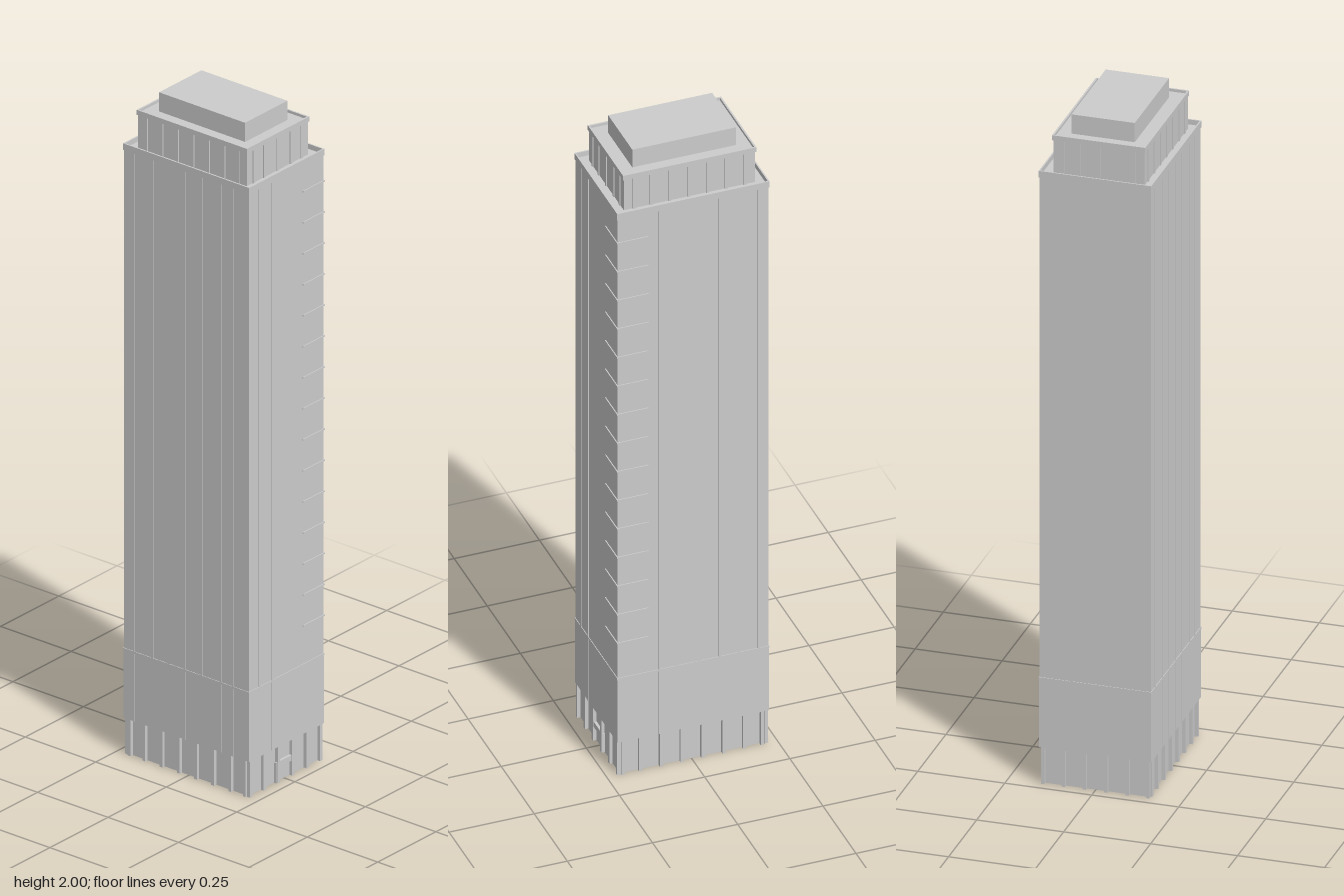
import * as THREE from 'three';

const stone = new THREE.MeshStandardMaterial({ color: 0xcccccc });
stone.name = 'light grey';

// Footprint bounds: [xMin, xMax, zMin, zMax]
const SHAFT = [-0.161, 0.159, -0.223, 0.22];
const CROWN = [-0.137, 0.131, -0.198, 0.193];
const CAP = [-0.093, 0.089, -0.155, 0.15];

const inset = ([a, b, c, d], n) => [a + n, b - n, c + n, d - n];

export function createModel() {
  const model = new THREE.Group();
  model.name = 'tower';

  function block(name, [x0, x1, z0, z1], y0, y1, parent = model) {
    const mesh = new THREE.Mesh(new THREE.BoxGeometry(x1 - x0, y1 - y0, z1 - z0), stone);
    mesh.position.set((x0 + x1) / 2, (y0 + y1) / 2, (z0 + z1) / 2);
    mesh.name = name;
    parent.add(mesh);
  }

  // Hollow rectangular wall, open at top and bottom
  function ring(name, [x0, x1, z0, z1], thick, y0, y1) {
    const rect = (P, n) => new P([
      new THREE.Vector2(x0 + n, -z0 - n), new THREE.Vector2(x0 + n, -z1 + n),
      new THREE.Vector2(x1 - n, -z1 + n), new THREE.Vector2(x1 - n, -z0 - n),
    ]);
    const shape = rect(THREE.Shape, 0);
    shape.holes.push(rect(THREE.Path, thick));
    const geo = new THREE.ExtrudeGeometry(shape, { depth: y1 - y0, bevelEnabled: false });
    geo.rotateX(-Math.PI / 2).translate(0, y0, 0);
    const mesh = new THREE.Mesh(geo, stone);
    mesh.name = name;
    model.add(mesh);
  }

  // Vertical strips on one side of a footprint; a positive out stands proud
  function strips(name, bounds, side, centres, width, out, y0, y1) {
    const group = new THREE.Group();
    group.name = name;
    const [x0, x1, z0, z1] = bounds;
    for (const c of centres) {
      const a = c - width / 2, b = c + width / 2;
      const box = {
        front: [a, b, z1 - 0.001, z1 + out],
        back: [a, b, z0 - out, z0 + 0.001],
        left: [x1 - 0.001, x1 + out, a, b],
        right: [x0 - out, x0 + 0.001, a, b],
      }[side];
      block(name + 'Strip', box, y0, y1, group);
    }
    model.add(group);
  }

  // Open-bottomed ground floor set back behind columns
  const wall = inset(SHAFT, 0.01);
  ring('groundFloorWall', wall, 0.002, 0, 0.11);
  const shortSide = [-0.152, -0.093, -0.032, 0.03, 0.091, 0.15];
  const longSide = [-0.205, -0.153, -0.092, -0.031, 0.03, 0.091, 0.152, 0.203];
  for (const side of ['front', 'back']) strips(side + 'Columns', wall, side, shortSide, 0.01, 0.01, 0, 0.11);
  for (const side of ['left', 'right']) strips(side + 'Columns', wall, side, longSide, 0.01, 0.01, 0, 0.11);

  // Entrance
  const z = wall[3];
  block('doorPost', [-0.041, -0.035, z, z + 0.008], 0, 0.062);
  block('doorPost', [0.031, 0.037, z, z + 0.008], 0, 0.062);
  block('doorLintel', [-0.03, 0.028, z, z + 0.008], 0.045, 0.062);

  // Lower storeys, ledge, shaft and its parapet
  block('lowerStoreys', inset(SHAFT, -0.001), 0.11, 0.32);
  ring('ledge', inset(SHAFT, -0.002), 0.003, 0.316, 0.322);
  block('shaft', SHAFT, 0.32, 1.835);
  ring('shaftParapet', inset(SHAFT, -0.002), 0.004, 1.83, 1.85);

  // Slim ribs running up the shaft
  const rib = (side, centres) => strips(side + 'Ribs', SHAFT, side, centres, 0.006, 0.002, 0.11, 1.84);
  rib('front', [-0.117, -0.062]);
  rib('back', [0.117, 0.068, 0.022]);
  rib('left', [0.097, 0.048, -0.02, -0.078, -0.136, -0.194]);
  rib('right', [-0.187, -0.122, -0.064, -0.006, 0.052, 0.12, 0.164]);

  // Small ledges wrapping one front corner
  for (let i = 0; i < 15; i++) {
    const y = 1.753 - i * 0.094;
    block('cornerLedgeFront', [0.07, 0.162, 0.219, 0.223], y - 0.002, y + 0.002);
    block('cornerLedgeSide', [0.158, 0.162, 0.13, 0.223], y - 0.002, y + 0.002);
  }

  // Set-back crown with pilasters and parapet
  const crownWall = inset(CROWN, 0.003);
  block('crown', crownWall, 1.83, 1.942);
  ring('crownParapet', CROWN, 0.005, 1.935, 1.95);
  for (const side of ['front', 'back']) strips(side + 'Pilasters', crownWall, side, [-0.105, -0.06, -0.003, 0.054, 0.1], 0.008, 0.003, 1.83, 1.94);
  for (const side of ['left', 'right']) strips(side + 'Pilasters', crownWall, side, [-0.165, -0.11, -0.055, 0, 0.055, 0.11, 0.16], 0.008, 0.003, 1.83, 1.94);

  // Roof block
  block('roofBlock', CAP, 1.94, 2);

  return model;
}
